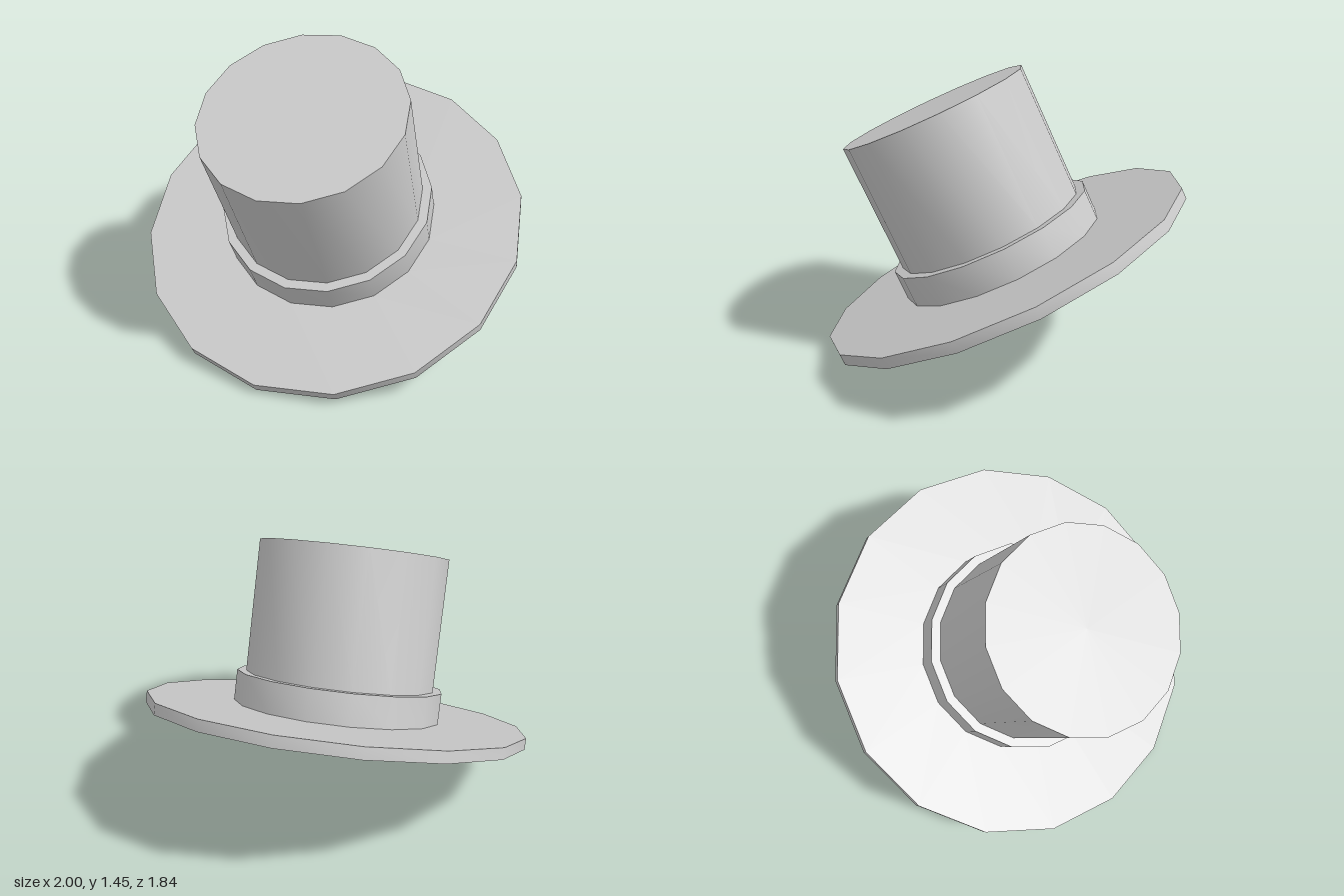
import * as THREE from 'three';
import { toCreasedNormals } from 'three/addons/utils/BufferGeometryUtils.js';

const SIDES = 16;
const BRIM_R = 1.0, BAND_R = 0.547, CROWN_R = 0.5, INNER_R = 0.457;
const BRIM_TOP = 0.058, BAND_TOP = 0.218, CROWN_TOP = 0.907;
const WALL = 0.047;

export function createModel() {
  const model = new THREE.Group();
  model.name = 'topHat';
  const material = new THREE.MeshStandardMaterial({ color: 0xcccccc });

  // Turns a [radius, height] profile into a faceted part with crisp rims
  const turned = (name, profile) => {
    const points = profile.map(([r, y]) => new THREE.Vector2(r, y));
    const geometry = toCreasedNormals(new THREE.LatheGeometry(points, SIDES), 0.6);
    const mesh = new THREE.Mesh(geometry, material);
    mesh.name = name;
    hat.add(mesh);
  };

  // The whole hat leans forward and a little to its left
  const hat = new THREE.Group();
  hat.name = 'hat';
  hat.rotation.set(0.433, 0.047, -0.03, 'ZXY');
  hat.position.set(0, 0.42, -0.012);
  model.add(hat);

  // Flat brim with its head opening
  turned('brim', [
    [CROWN_R, BRIM_TOP], [CROWN_R, 0], [BRIM_R, 0], [BRIM_R, BRIM_TOP], [BAND_R, BRIM_TOP],
  ]);

  // Raised hat band around the foot of the crown
  turned('band', [[BAND_R, BRIM_TOP], [BAND_R, BAND_TOP], [CROWN_R, BAND_TOP]]);

  // Straight crown with a flat top
  turned('crown', [[CROWN_R, BAND_TOP], [CROWN_R, CROWN_TOP], [0, CROWN_TOP]]);

  // Hollow inside, stepped outward behind the band
  turned('lining', [
    [0, CROWN_TOP - WALL], [INNER_R, CROWN_TOP - WALL], [INNER_R, BAND_TOP - WALL],
    [CROWN_R, BAND_TOP - WALL], [CROWN_R, BRIM_TOP],
  ]);

  return model;
}
